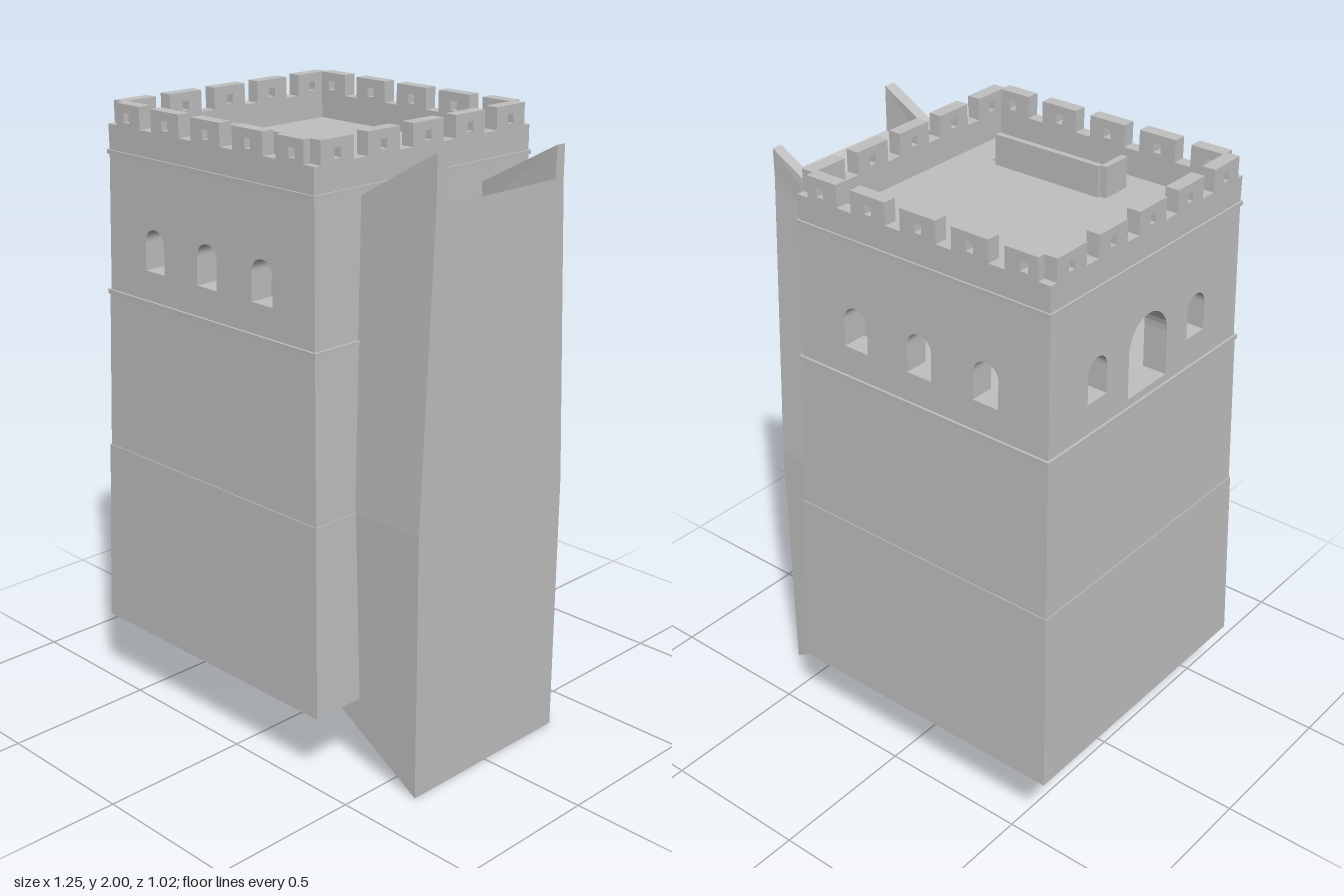
import * as THREE from 'three';

export function createModel() {
  const model = new THREE.Group();
  const stone = new THREE.MeshStandardMaterial({ color: 0xc0c0c0 });
  stone.name = 'stone';

  const add = (parent, name, geometry) => {
    const mesh = new THREE.Mesh(geometry, stone);
    mesh.name = name;
    parent.add(mesh);
    return mesh;
  };
  const flat = (geometry) => {
    const g = geometry.index ? geometry.toNonIndexed() : geometry;
    g.computeVertexNormals();
    return g;
  };
  // Box given by its limits
  const box = (x0, x1, y0, y1, z0, z1) =>
    new THREE.BoxGeometry(x1 - x0, y1 - y0, z1 - z0)
      .translate((x0 + x1) / 2, (y0 + y1) / 2, (z0 + z1) / 2);
  // Square tapering block given by half widths
  const frustum = (h0, h1, y0, y1) =>
    flat(new THREE.CylinderGeometry(h1 * Math.SQRT2, h0 * Math.SQRT2, y1 - y0, 4, 1, false, Math.PI / 4))
      .translate(0, (y0 + y1) / 2, 0);
  const polygon = (points) => new THREE.Shape(points.map(([x, y]) => new THREE.Vector2(x, y)));
  const rect = (x0, x1, y0, y1) => polygon([[x0, y0], [x1, y0], [x1, y1], [x0, y1]]);
  const extrude = (shape, depth) =>
    new THREE.ExtrudeGeometry(shape, { depth, bevelEnabled: false, curveSegments: 8 });
  const archHole = (x, y0, y1, w) => {
    const r = w / 2;
    const p = new THREE.Path();
    p.moveTo(x - r, y0);
    p.lineTo(x + r, y0);
    p.lineTo(x + r, y1 - r);
    p.absarc(x, y1 - r, r, 0, Math.PI, false);
    p.lineTo(x - r, y0);
    return p;
  };
  const moveVertices = (geometry, rule) => {
    const p = geometry.attributes.position;
    for (let i = 0; i < p.count; i++) {
      const [x, y, z] = rule(p.getX(i), p.getY(i), p.getZ(i));
      p.setXYZ(i, x, y, z);
    }
    return flat(geometry);
  };

  // Tower body
  const tower = new THREE.Group();
  tower.name = 'tower';
  tower.position.x = -0.122;
  model.add(tower);
  add(tower, 'lowerBase', frustum(0.508, 0.49, 0.25, 0.87));
  add(tower, 'upperBase', frustum(0.487, 0.473, 0.87, 1.39));
  add(tower, 'lowerLedge', frustum(0.478, 0.478, 1.386, 1.4));

  // Chamber walls, mitred at the corners and leaning inwards
  const yA = 1.4, yB = 1.845, thick = 0.08;
  const half = (y) => 0.47 - 0.01 * (y - yA) / (yB - yA);
  const windows = (xs) => xs.map((x) => archHole(x, 1.495, 1.63, 0.09));
  const openings = [
    windows([-0.245, 0, 0.245]),
    [],
    windows([-0.245, 0, 0.245]),
    [...windows([-0.245, 0.245]), archHole(0, 1.425, 1.665, 0.19)],
  ];
  const sideNames = ['front', 'left', 'back', 'right'];
  openings.forEach((holes, i) => {
    const shape = polygon([[-half(yA), yA], [half(yA), yA], [half(yB), yB], [-half(yB), yB]]);
    shape.holes.push(...holes);
    const wall = moveVertices(extrude(shape, thick), (x, y, z) => [
      z < 0.01 && Math.abs(x) > 0.4 ? x - Math.sign(x) * thick : x,
      y,
      half(y) - thick + z,
    ]);
    add(tower, sideNames[i] + 'ChamberWall', wall.rotateY(i * Math.PI / 2));
  });

  // Upper ledge, one strip per side
  for (let i = 0; i < 4; i++) {
    add(tower, 'upperLedge', box(-0.466, 0.466, 1.837, 1.85, 0.42, 0.466).rotateY(i * Math.PI / 2));
  }

  // Roof floor with stair opening
  const floor = rect(-0.44, 0.44, -0.44, 0.44);
  floor.holes.push(rect(-0.113, 0.312, 0.24, 0.335));
  add(tower, 'roofFloor', extrude(floor, 0.04).rotateX(Math.PI / 2).translate(0, 1.845, 0));

  // Battlements: low wall and five pierced merlons per side
  for (let i = 0; i < 4; i++) {
    const side = new THREE.Group();
    side.name = sideNames[i] + 'Battlement';
    side.rotation.y = i * Math.PI / 2;
    tower.add(side);
    const long = i % 2 === 0;
    const wallEnd = long ? 0.46 : 0.416;
    const merlonEnd = long ? 0.418 : 0.436;
    add(side, 'parapet', box(-wallEnd, wallEnd, 1.845, 1.93, 0.416, 0.46));
    for (let k = -2; k <= 2; k++) {
      const c = k * 0.185;
      const merlon = rect(Math.max(c - 0.065, -merlonEnd), Math.min(c + 0.065, merlonEnd), 1.93, 2);
      merlon.holes.push(rect(c - 0.013, c + 0.013, 1.942, 1.972));
      add(side, 'merlon', extrude(merlon, 0.044).translate(0, 0, 0.416));
    }
  }

  // Stairs from the chamber to the roof, with guard walls
  const steps = 16, run = 0.425 / steps, rise = 0.44 / (steps + 1);
  for (let i = 0; i < steps; i++) {
    const x = 0.312 - i * run;
    add(tower, 'step', box(x - run, x, 1.4, 1.845 - (i + 1) * rise, 0.24, 0.335));
  }
  add(tower, 'stairGuardWall', box(-0.113, 0.28, 1.4, 1.945, 0.22, 0.24));
  add(tower, 'stairEndWall', box(-0.135, -0.113, 1.8, 1.945, 0.23, 0.335));

  // Buttress on the left side, with a sloping channel on top
  const buttress = new THREE.Group();
  buttress.name = 'buttress';
  model.add(buttress);
  const width = (y) => (y < 0.87 ? 0.325 : 0.325 - 0.05 * Math.min(1, (y - 0.87) / 0.97));
  const prism = (name, points, near, far) =>
    add(buttress, name, moveVertices(extrude(polygon(points), 1),
      (x, y, z) => [x, y, z < 0.5 ? near(y) : far(y)]));
  const back = (y) => -width(y);
  prism('buttressBase', [[0.2, 0.25], [0.625, 0], [0.625, 0.87], [0.3, 0.87]], back, width);
  prism('buttressShaft', [[0.3, 0.87], [0.625, 0.87], [0.625, 1.835], [0.315, 1.68]], back, width);
  prism('frontChannelWall', [[0.315, 1.68], [0.625, 1.835], [0.625, 1.985], [0.325, 1.815]],
    (y) => width(y) - 0.042, width);
  prism('backChannelWall', [[0.315, 1.68], [0.625, 1.835], [0.625, 1.935], [0.325, 1.775]],
    back, (y) => -width(y) + 0.036);

  return model;
}
